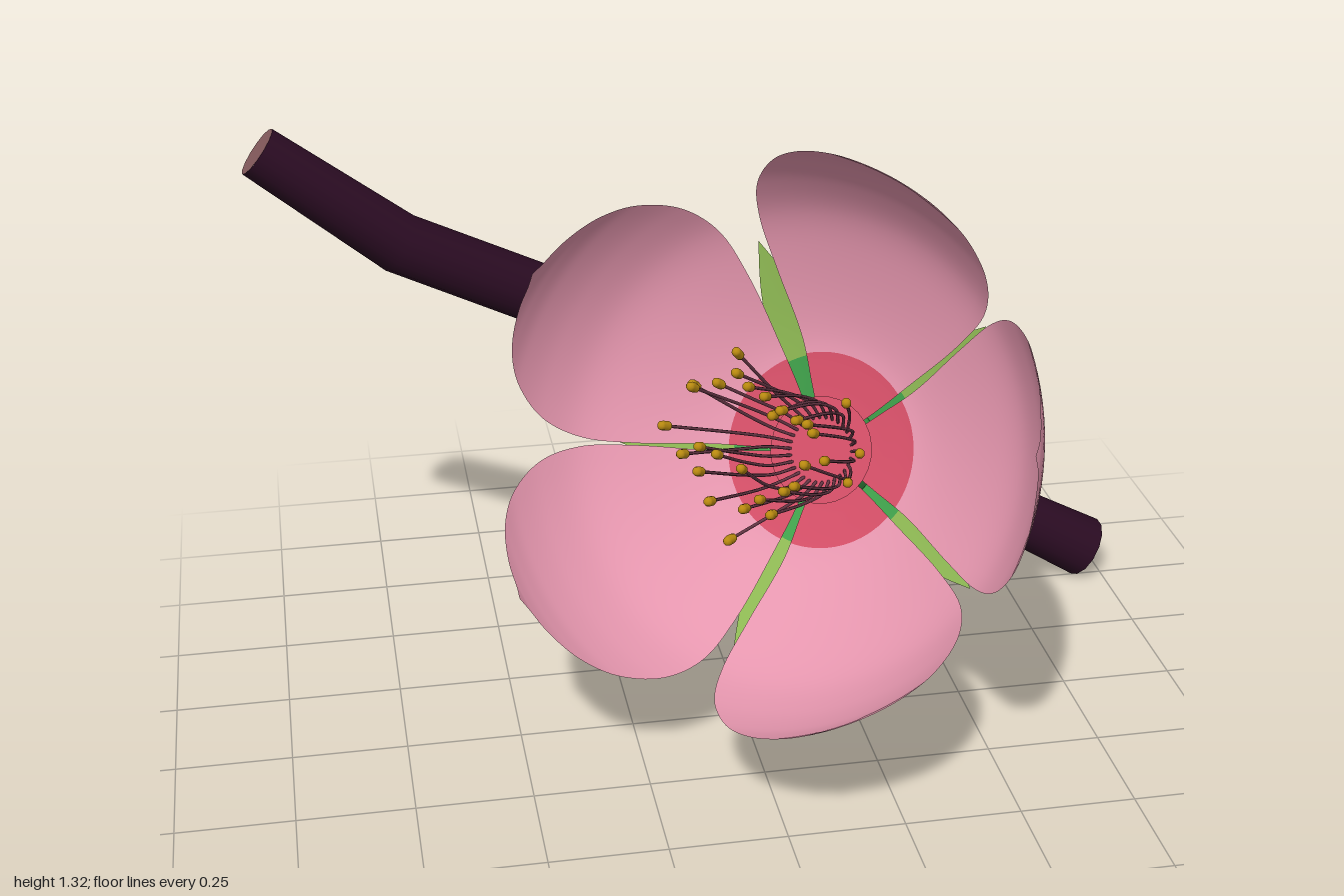
import * as THREE from 'three';

const V = (x, y, z) => new THREE.Vector3(x, y, z);
const mat = (name, color, side = THREE.FrontSide) => {
  const m = new THREE.MeshStandardMaterial({ color, side });
  m.name = name;
  return m;
};

// Geometry from a grid of points, wound so lofted tubes face outward
function gridGeometry(rows, closed) {
  const n = rows[0].length, index = [];
  for (let i = 0; i < rows.length - 1; i++) {
    for (let j = 0; j < (closed ? n : n - 1); j++) {
      const k = (j + 1) % n, a = i * n, b = a + n;
      index.push(a + j, a + k, b + k, a + j, b + k, b + j);
    }
  }
  const g = new THREE.BufferGeometry().setFromPoints(rows.flat());
  g.setIndex(index);
  g.computeVertexNormals();
  return g;
}

// Round tube through points with a radius at each point
function loft(points, radii, sides) {
  const rows = points.map((p, i) => {
    const t = points[Math.min(i + 1, points.length - 1)].clone()
      .sub(points[Math.max(i - 1, 0)]).normalize();
    const u = V(0.11, 0.23, 0.97).cross(t).normalize();
    const v = t.clone().cross(u);
    return Array.from({ length: sides }, (_, j) => {
      const a = (j / sides) * Math.PI * 2;
      return p.clone().addScaledVector(u, Math.cos(a) * radii[i]).addScaledVector(v, Math.sin(a) * radii[i]);
    });
  });
  return gridGeometry(rows, true);
}

// Petal or sepal curved round the flower axis; profile holds (radius, height, half width).
// Material 0 colours the part within the split radius, material 1 the rest.
function blade(profile, steps, columns, split) {
  const pts = new THREE.CatmullRomCurve3(profile, false, 'centripetal').getPoints(steps);
  const rows = pts.map(({ x: r, y: h, z: w }) =>
    Array.from({ length: columns + 1 }, (_, j) => {
      const a = (Math.max(w, 0) / r) * (j / columns * 2 - 1);
      return V(r * Math.cos(a), h, -r * Math.sin(a));
    }));
  const g = gridGeometry(rows, false);
  const cut = pts.findIndex((p) => p.x >= split) * columns * 6;
  g.addGroup(0, cut, 0);
  g.addGroup(cut, g.index.count - cut, 1);
  return g;
}

export function createModel() {
  const model = new THREE.Group();
  const bark = mat('bark', 0x2b0c23);
  const wood = mat('cut wood', 0x865c5e, THREE.DoubleSide);
  const green = mat('green', 0x3f9f4a, THREE.DoubleSide);
  const leaf = mat('light green', 0x8cb652, THREE.DoubleSide);
  const pink = mat('petal pink', 0xe596ae, THREE.DoubleSide);
  const red = mat('petal base red', 0xd24e66, THREE.DoubleSide);
  const filamentMat = mat('filament plum', 0x6c3a4a);
  const antherMat = mat('anther gold', 0xb98a10);
  const add = (parent, name, geometry, material) => {
    const m = new THREE.Mesh(geometry, material);
    m.name = name;
    parent.add(m);
    return m;
  };

  // Branch with cut ends
  const path = [V(-0.97, 1.238, -0.457), V(-0.68, 1.01, -0.457), V(-0.34, 0.83, -0.513),
    V(0.35, 0.4, -0.518), V(0.64, 0.255, -0.523), V(0.962, 0.07, -0.52)];
  const radii = [0.058, 0.068, 0.07, 0.07, 0.06, 0.075];
  add(model, 'branch', loft(path, radii, 14), bark);
  for (const [end, next] of [[0, 1], [5, 4]]) {
    const cap = add(model, 'branchEnd', new THREE.CircleGeometry(radii[end], 14), wood);
    cap.position.copy(path[end]);
    cap.lookAt(path[end].clone().multiplyScalar(2).sub(path[next]));
  }

  // Flower stalk, flaring into the receptacle
  const stalk = new THREE.CatmullRomCurve3([V(0.365, 0.4, -0.46), V(0.358, 0.435, -0.4),
    V(0.338, 0.49, -0.315), V(0.3, 0.53, -0.24), V(0.255, 0.555, -0.175)]).getPoints(24);
  add(model, 'stalk', loft(stalk, stalk.map((_, i) => 0.0165 + 0.03 * Math.pow(i / 24, 7)), 12), green);

  // Flower: its local y is the flower axis, its local x points along the first petal
  const flower = new THREE.Group();
  flower.name = 'flower';
  const axis = V(-0.515, 0.432, 0.74).normalize();
  const first = V(0.4, 0.88, -0.245);
  first.addScaledVector(axis, -first.dot(axis)).normalize();
  flower.quaternion.setFromRotationMatrix(
    new THREE.Matrix4().makeBasis(first, axis, first.clone().cross(axis)));
  flower.position.set(0.21, 0.588, -0.11);
  model.add(flower);

  // Receptacle: a ball cut open at the front, with a red floor
  const cup = [];
  for (let i = 0; i <= 16; i++) {
    const a = -Math.PI / 2 + (i / 16) * 1.93;
    cup.push(new THREE.Vector2(Math.max(0.115 * Math.cos(a), 0.0001), 0.115 * Math.sin(a)));
  }
  add(flower, 'receptacle', new THREE.LatheGeometry(cup, 28), green);
  const floor = add(flower, 'flowerFloor', new THREE.CircleGeometry(0.118, 28), red);
  floor.rotation.x = -Math.PI / 2;
  floor.position.y = 0.043;

  // Five cupped petals, slightly unevenly spaced, with five sepals in the gaps behind them
  const petal = blade([V(0.09, 0.034, 0.05), V(0.15, 0.04, 0.086), V(0.25, 0.06, 0.143),
    V(0.4, 0.138, 0.238), V(0.5, 0.215, 0.29), V(0.555, 0.295, 0.288), V(0.588, 0.37, 0.24),
    V(0.6, 0.42, 0.175), V(0.604, 0.455, 0.085), V(0.604, 0.468, 0.03), V(0.602, 0.488, 0)], 66, 16, 0.2);
  const sepal = blade([V(0.085, -0.035, 0.045), V(0.14, -0.012, 0.034), V(0.2, 0.01, 0.037),
    V(0.26, 0.032, 0.048), V(0.31, 0.052, 0.05), V(0.37, 0.078, 0.037), V(0.42, 0.1, 0.02),
    V(0.47, 0.122, 0)], 28, 6, 0.205);
  const turns = [-0.045, 0.055, 0, 0, 0];
  turns.forEach((turn, i) => {
    add(flower, 'petal', petal, [red, pink]).rotation.y = (i / 5) * Math.PI * 2 + turn;
    add(flower, 'sepal', sepal, [green, leaf]).rotation.y = ((i + 0.5) / 5) * Math.PI * 2;
  });

  // Stamens: thin curved filaments tipped with anthers
  let seed = 7;
  const rand = () => (seed = (seed * 16807) % 2147483647) / 2147483647;
  const count = 30;
  const antherShape = new THREE.CapsuleGeometry(0.0105, 0.016, 3, 8);
  for (let i = 0; i < count; i++) {
    const a = (i / count) * Math.PI * 2;
    const at = (r, h, turn) => V(r * Math.cos(a + turn), h, -r * Math.sin(a + turn));
    const spread = 0.06 + 0.17 * rand(), turn = (rand() - 0.5) * 0.5;
    const curve = new THREE.CatmullRomCurve3([at(0.07, 0.04, 0), at(0.1, 0.1, 0),
      at(0.085 + spread * 0.25, 0.2, turn * 0.4), at(spread, 0.32 + 0.14 * rand(), turn)]);
    const pts = curve.getPoints(12);
    add(flower, 'filament', loft(pts, pts.map(() => 0.0037), 5), filamentMat);
    const anther = add(flower, 'anther', antherShape, antherMat);
    anther.position.copy(pts[12]);
    anther.quaternion.setFromUnitVectors(V(0, 1, 0), curve.getTangent(1));
  }
  return model;
}
